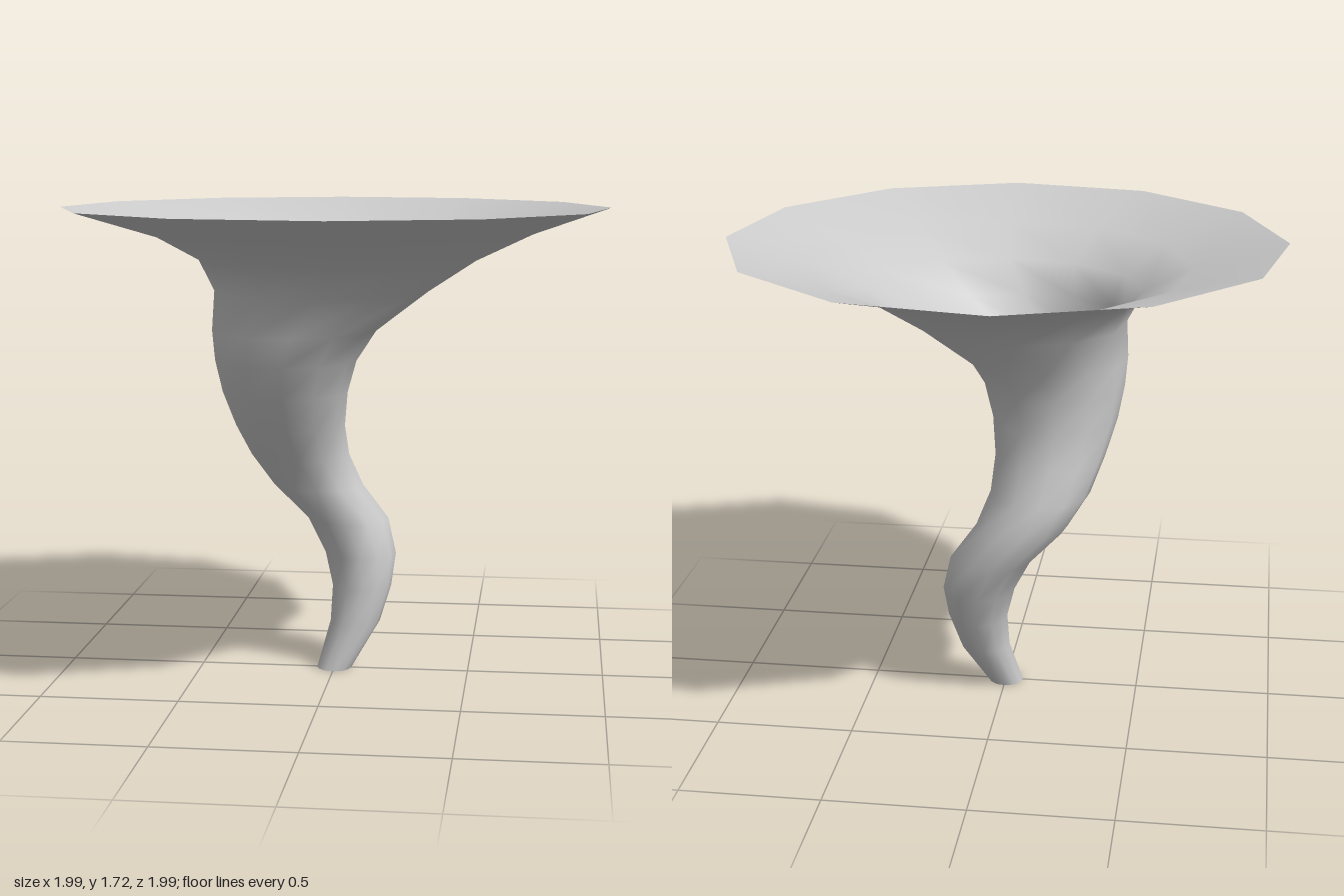
import * as THREE from 'three';

// Cross-sections from bottom to top: height, then x extents and z extents
const RINGS = [
  [0, -0.065, 0.063, -0.063, 0.065],
  [0.17, -0.02, 0.165, -0.14, 0.04],
  [0.3, -0.015, 0.205, -0.19, 0.03],
  [0.42, -0.045, 0.22, -0.235, 0.026],
  [0.55, -0.112, 0.19, -0.265, 0.032],
  [0.68, -0.24, 0.095, -0.27, 0.068],
  [0.8, -0.318, 0.047, -0.243, 0.122],
  [0.92, -0.365, 0.038, -0.197, 0.21],
  [1.05, -0.405, 0.053, -0.174, 0.282],
  [1.17, -0.427, 0.088, -0.18, 0.343],
  [1.28, -0.436, 0.16, -0.21, 0.38],
  [1.42, -0.432, 0.345, -0.305, 0.405],
  [1.53, -0.49, 0.515, -0.44, 0.5],
  [1.625, -0.67, 0.72, -0.67, 0.71],
  [1.72, -1, 1, -1, 1],
];
const SIDES = 12;
const TURN = 0.083;

// Smooth open skin lofted through the rings
function loftRings(rings) {
  const positions = [], index = [];
  rings.forEach(([y, x0, x1, z0, z1], r) => {
    for (let i = 0; i < SIDES; i++) {
      const a = TURN + (i / SIDES) * Math.PI * 2;
      positions.push(
        (x0 + x1) / 2 + Math.cos(a) * (x1 - x0) / 2,
        y,
        (z0 + z1) / 2 - Math.sin(a) * (z1 - z0) / 2,
      );
      if (r === rings.length - 1) continue;
      const j = (i + 1) % SIDES;
      const a0 = r * SIDES + i, b0 = r * SIDES + j;
      index.push(a0, b0, b0 + SIDES, a0, b0 + SIDES, a0 + SIDES);
    }
  });
  const geometry = new THREE.BufferGeometry();
  geometry.setAttribute('position', new THREE.Float32BufferAttribute(positions, 3));
  geometry.setIndex(index);
  geometry.computeVertexNormals();
  return geometry;
}

export function createModel() {
  const group = new THREE.Group();
  group.name = 'whirlwind';
  const material = new THREE.MeshStandardMaterial({ color: 0xcccccc, side: THREE.DoubleSide });
  // Twisting funnel, open at the foot and at the flared rim
  const funnel = new THREE.Mesh(loftRings(RINGS), material);
  funnel.name = 'funnel';
  group.add(funnel);
  return group;
}
